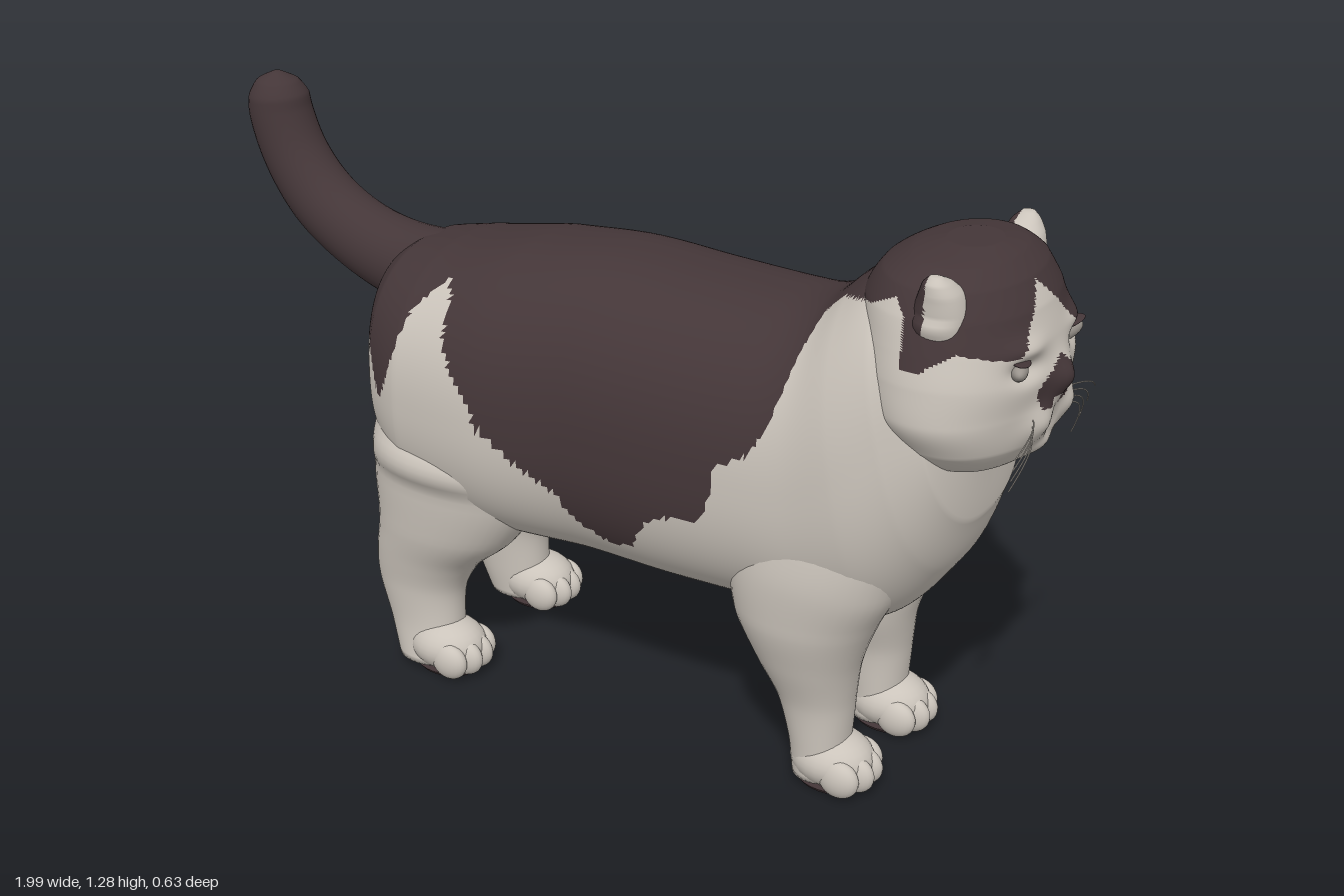
import * as THREE from 'three';

const material = (name, color) => Object.assign(new THREE.MeshStandardMaterial({ color }), { name });
const V = (x, y, z) => new THREE.Vector3(x, y, z);

// Piecewise linear lookup through [x, y] pairs
function lookup(pairs, x) {
  if (x <= pairs[0][0]) return pairs[0][1];
  for (let i = 1; i < pairs.length; i++) {
    const [x0, y0] = pairs[i - 1], [x1, y1] = pairs[i];
    if (x <= x1) return y0 + (y1 - y0) * (x - x0) / (x1 - x0);
  }
  return pairs[pairs.length - 1][1];
}

// Sorts triangles into light (group 0) and dark (group 1) by a rule on their centres
function paint(geometry, isDark) {
  const p = geometry.attributes.position, index = geometry.index.array, lists = [[], []];
  const a = V(), b = V(), c = V();
  for (let i = 0; i < index.length; i += 3) {
    a.fromBufferAttribute(p, index[i]);
    b.fromBufferAttribute(p, index[i + 1]);
    c.fromBufferAttribute(p, index[i + 2]);
    a.add(b).add(c).divideScalar(3);
    lists[isDark(a) ? 1 : 0].push(index[i], index[i + 1], index[i + 2]);
  }
  geometry.setIndex([...lists[0], ...lists[1]]);
  geometry.addGroup(0, lists[0].length, 0);
  geometry.addGroup(lists[0].length, lists[1].length, 1);
  return geometry;
}

// Smooth closed skin through sections { c: centre, u, v: half axes }, with u x v along the path
function loft(sections, steps, around, power = 2, warp = null) {
  const [cs, us, vs] = ['c', 'u', 'v'].map(k => new THREE.CatmullRomCurve3(sections.map(s => s[k])));
  const pos = [], idx = [];
  for (let i = 0; i <= steps; i++) {
    const t = i / steps, c = cs.getPoint(t), u = us.getPoint(t), v = vs.getPoint(t);
    for (let j = 0; j < around; j++) {
      const a = j / around * Math.PI * 2;
      const round = n => Math.sign(n) * Math.abs(n) ** (2 / power);
      const q = c.clone().addScaledVector(u, round(Math.cos(a))).addScaledVector(v, round(Math.sin(a)));
      if (warp) warp(q);
      pos.push(q.x, q.y, q.z);
    }
  }
  for (let i = 0; i < steps; i++) for (let j = 0; j < around; j++) {
    const k = (j + 1) % around, a = i * around + j, b = i * around + k;
    idx.push(a, b, a + around, b, b + around, a + around);
  }
  const first = sections[0].c, last = sections[sections.length - 1].c, n = (steps + 1) * around;
  pos.push(first.x, first.y, first.z, last.x, last.y, last.z);
  for (let j = 0; j < around; j++) {
    const k = (j + 1) % around, e = steps * around;
    idx.push(n, k, j, n + 1, e + j, e + k);
  }
  const g = new THREE.BufferGeometry();
  g.setAttribute('position', new THREE.Float32BufferAttribute(pos, 3));
  g.setIndex(idx);
  g.computeVertexNormals();
  return g;
}

// Upright sections from rows [y, back x, front x, centre z, half width]
const upright = rows => rows.map(([y, b, f, z, w]) =>
  ({ c: V((b + f) / 2, y, z), u: V(0, 0, w), v: V((f - b) / 2, 0, 0) }));

// Dark cap on each side of the head, and nose patch half widths by height
const CAP_RIGHT = [[0.52, 1.07], [0.6, 1.1], [0.66, 1.12], [0.72, 1.15], [0.745, 1.12], [0.755, 1.03],
  [0.79, 1.03], [0.85, 1.07], [0.93, 1.05]];
const CAP_LEFT = [[0.52, 1.07], [0.6, 1.1], [0.66, 1.06], [0.71, 1.01], [0.77, 1.01], [0.85, 1.06], [0.93, 1.05]];
const NOSE = [[0.918, 0], [0.93, 0.055], [0.955, 0.07], [0.975, 0.07], [0.99, 0.05], [1.005, 0.03], [1.028, 0]];
function headDark(p) {
  if (p.x > 0.9 && Math.abs(p.z - 0.013) < lookup(NOSE, p.y))
    return p.y > 0.942 || Math.abs(p.z - 0.013) > 0.014;
  if (p.x > 0.84 && Math.abs(p.z - 0.02) < 1.165 - p.y) return false;
  return p.y > lookup(p.z > 0 ? CAP_RIGHT : CAP_LEFT, p.x) || (p.x < 0.7 && p.y > 1 && Math.abs(p.z) < 0.11);
}

// Lower edge of the dark saddle along the body
const SADDLE = [[-0.56, 0.8], [-0.5, 0.8], [-0.47, 0.71], [-0.45, 0.69], [-0.42, 0.76], [-0.38, 0.9],
  [-0.32, 0.965], [-0.29, 0.94], [-0.27, 0.85], [-0.2, 0.76], [-0.17, 0.7], [-0.08, 0.63], [0, 0.58],
  [0.05, 0.51], [0.12, 0.47], [0.17, 0.49], [0.22, 0.57], [0.28, 0.6], [0.35, 0.61], [0.37, 0.66],
  [0.38, 0.74], [0.45, 0.78], [0.49, 0.85], [0.51, 0.96], [0.53, 1.05], [0.56, 1.3]];
const furDark = p => p.y > lookup(SADDLE, p.x) || (p.x > 0.52 && headDark(p));

// Soft facial bumps [y, z, size y, size z, depth]
const BUMPS = [[0.9, 0.065, 0.035, 0.045, 0.02], [0.9, -0.065, 0.035, 0.045, 0.02],
  [0.975, 0, 0.04, 0.035, 0.026], [0.88, 0, 0.03, 0.012, -0.012], [0.825, 0, 0.022, 0.05, 0.015],
  [1.02, 0.11, 0.02, 0.04, -0.02], [1.02, -0.11, 0.02, 0.04, -0.02],
  [1.06, 0.11, 0.02, 0.05, 0.012], [1.06, -0.11, 0.02, 0.05, 0.012]];
function faceWarp(q) {
  if (q.x < 0.8) return;
  const fade = Math.min(1, (q.x - 0.8) / 0.08);
  for (const [y, z, sy, sz, d] of BUMPS)
    q.x += fade * d * Math.exp(-(((q.y - y) / sy) ** 2) - ((q.z - z) / sz) ** 2);
}

export function createModel() {
  const cat = new THREE.Group();
  cat.name = 'cat';
  const light = material('creamFur', 0xcbc4bb), dark = material('darkFur', 0x443638);
  const eyeGrey = material('eyeGrey', 0x9a948d);
  const add = (name, geometry, mat, parent = cat) => {
    const m = new THREE.Mesh(geometry, mat);
    m.name = name;
    parent.add(m);
    return m;
  };
  const ball = (name, mat, parent, pos, scale) => {
    const m = add(name, new THREE.SphereGeometry(1, 24, 16), mat, parent);
    m.position.set(...pos);
    m.scale.set(...scale);
    return m;
  };
  const fur = [light, dark];

  // Body and neck: top x, y, bottom x, y, half width, sideways shift
  const body = [[-0.585, 0.85, -0.572, 0.7, 0.06, 0], [-0.562, 0.93, -0.555, 0.56, 0.165, 0],
    [-0.5, 0.975, -0.5, 0.46, 0.25, 0], [-0.4, 0.995, -0.4, 0.39, 0.298, 0], [-0.2, 1.03, -0.2, 0.36, 0.316, 0],
    [0, 1.045, 0, 0.36, 0.298, -0.009], [0.2, 1.035, 0.2, 0.355, 0.293, -0.012], [0.4, 1.03, 0.4, 0.36, 0.287, -0.012],
    [0.5, 1.05, 0.56, 0.355, 0.282, -0.008], [0.57, 1.11, 0.7, 0.41, 0.278, 0], [0.64, 1.165, 0.805, 0.54, 0.263, 0],
    [0.73, 1.17, 0.85, 0.66, 0.235, 0], [0.8, 1.08, 0.85, 0.77, 0.13, 0]].map(([tx, ty, bx, by, w, z]) => ({
    c: V((tx + bx) / 2, (ty + by) / 2, z), u: V((tx - bx) / 2, (ty - by) / 2, 0), v: V(0, 0, w) }));
  add('body', paint(loft(body, 180, 130, 2.35), furDark), fur);

  // Head
  const head = upright([[0.79, 0.76, 0.86, 0, 0.08], [0.808, 0.71, 0.92, 0, 0.17], [0.86, 0.66, 0.955, 0, 0.235],
    [0.93, 0.615, 0.963, 0, 0.268], [1.0, 0.595, 0.97, 0, 0.262], [1.06, 0.59, 0.958, 0, 0.247],
    [1.12, 0.59, 0.938, 0, 0.228], [1.17, 0.62, 0.908, 0, 0.2], [1.2, 0.67, 0.872, 0, 0.15],
    [1.217, 0.73, 0.83, 0, 0.06]]);
  add('head', paint(loft(head, 130, 150, 2.08, faceWarp), headDark), fur);

  // Tail: centre x, y, radius, path angle
  const tail = [[-0.46, 0.88, 0.1, 180], [-0.6, 0.895, 0.09, 170], [-0.72, 0.935, 0.082, 155],
    [-0.82, 1.0, 0.078, 138], [-0.89, 1.09, 0.074, 118], [-0.925, 1.18, 0.072, 102], [-0.93, 1.22, 0.069, 95],
    [-0.931, 1.255, 0.048, 90], [-0.931, 1.275, 0.01, 90]].map(([x, y, r, deg]) => {
    const a = (deg - 90) * Math.PI / 180;
    return { c: V(x, y, 0), u: V(r * Math.cos(a), r * Math.sin(a), 0), v: V(0, 0, -r) };
  });
  add('tail', loft(tail, 48, 32), dark);

  for (const s of [1, -1]) {
    const side = s > 0 ? 'Right' : 'Left';
    const mirror = rows => upright(rows.map(([y, b, f, z, w]) => [y, b, f, z * s, w]));

    // Legs; the two front feet stand slightly off centre
    const f = s > 0 ? 0.122 : 0.15;
    const legs = {
      front: [[0.02, 0.51, 0.63, f, 0.066], [0.1, 0.5, 0.63, f, 0.07], [0.2, 0.47, 0.635, f, 0.08],
        [0.3, 0.42, 0.65, 0.135, 0.1], [0.4, 0.375, 0.685, 0.143, 0.12], [0.5, 0.37, 0.73, 0.15, 0.121],
        [0.6, 0.4, 0.755, 0.148, 0.112], [0.7, 0.46, 0.74, 0.135, 0.09], [0.8, 0.53, 0.67, 0.11, 0.05]],
      hind: [[0.02, -0.49, -0.33, 0.182, 0.068], [0.1, -0.52, -0.335, 0.172, 0.067], [0.2, -0.552, -0.33, 0.168, 0.073],
        [0.27, -0.552, -0.29, 0.168, 0.085], [0.36, -0.54, -0.19, 0.168, 0.105], [0.5, -0.543, -0.11, 0.165, 0.12],
        [0.6, -0.538, -0.12, 0.16, 0.12], [0.7, -0.525, -0.17, 0.15, 0.108], [0.82, -0.48, -0.25, 0.12, 0.07]],
    };
    for (const [kind, rows] of Object.entries(legs)) {
      add(`${kind}Leg${side}`, paint(loft(mirror(rows), 54, 40, 2.1), furDark), fur);

      // Paw with four toes and a dark sole
      const paw = new THREE.Group();
      paw.name = `${kind}Paw${side}`;
      paw.position.set(kind === 'front' ? 0.6 : -0.36, 0, rows[0][3] * s);
      cat.add(paw);
      ball('pawTop', light, paw, [-0.005, 0.06, 0], [0.092, 0.062, 0.08]);
      [-0.056, -0.02, 0.02, 0.056].forEach((z, i) =>
        ball('toe', light, paw, [i % 3 ? 0.056 : 0.038, 0.046, z], [0.046, 0.043, 0.026]));
      const sole = add('sole', new THREE.CylinderGeometry(1, 0.9, 0.009, 28), dark, paw);
      sole.position.set(-0.005, 0.0045, 0);
      sole.scale.set(0.08, 1, 0.064);
    }

    // Small rounded ears, pale inside
    const ear = mirror([[1.07, 0.735, 0.85, 0.175, 0.05], [1.13, 0.745, 0.85, 0.183, 0.05],
      [1.172, 0.76, 0.84, 0.192, 0.044], [1.194, 0.77, 0.825, 0.203, 0.031], [1.208, 0.785, 0.81, 0.213, 0.01]]);
    add(`ear${side}`, paint(loft(ear, 24, 36, 2.1), p => p.x < 0.785), fur);

    // Narrow slanted eyes under dark lids
    const slant = -s * 0.15;
    ball(`eye${side}`, eyeGrey, cat, [0.929, 1.018, 0.112 * s], [0.018, 0.019, 0.046]).rotation.set(slant, s * 0.4, 0);
    ball(`eyelid${side}`, dark, cat, [0.932, 1.036, 0.112 * s], [0.019, 0.004, 0.046]).rotation.set(slant, s * 0.4, 0);

    // Whiskers
    for (let i = 0; i < 4; i++) {
      const y = 0.915 - i * 0.012;
      const path = new THREE.QuadraticBezierCurve3(V(0.95, y, 0.085 * s), V(0.99, y + 0.015, 0.13 * s),
        V(0.97 - i * 0.008, 0.88 - i * 0.03, (0.2 - i * 0.015) * s));
      add(`whisker${side}`, new THREE.TubeGeometry(path, 10, 0.0014, 5), light);
    }
  }
  return cat;
}
